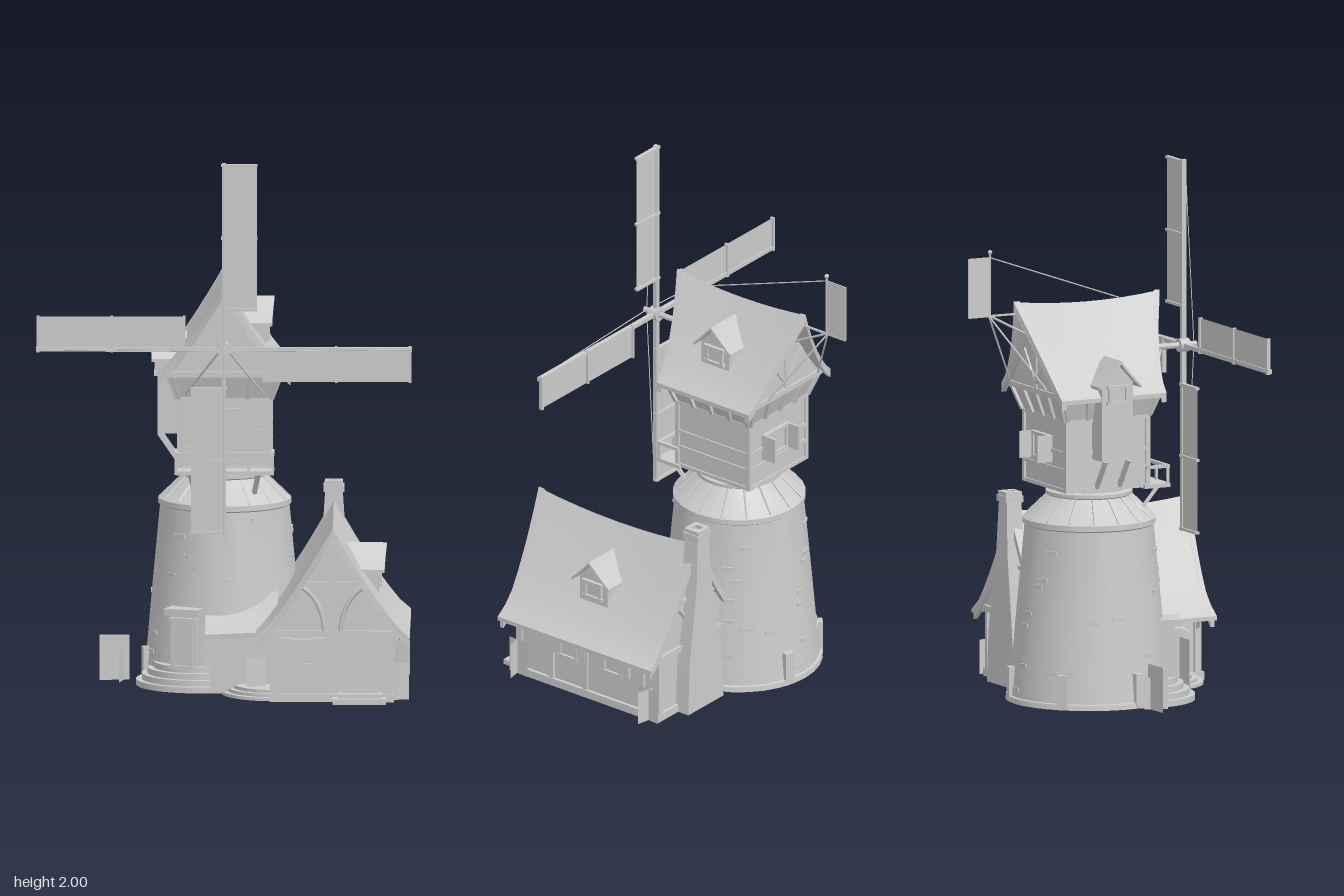
import * as THREE from 'three';
import { toCreasedNormals } from 'three/addons/utils/BufferGeometryUtils.js';

const grey = new THREE.MeshStandardMaterial({ color: 0xcccccc });
const thin = new THREE.MeshStandardMaterial({ color: 0xcccccc, side: THREE.DoubleSide });
const V = (x, y, z) => new THREE.Vector3(x, y, z);
const mix = (a, b, t) => a + (b - a) * t;

function add(parent, name, geo, x = 0, y = 0, z = 0, mat = grey) {
  const m = new THREE.Mesh(geo, mat);
  m.name = name;
  m.position.set(x, y, z);
  parent.add(m);
  return m;
}
function group(parent, name, x = 0, y = 0, z = 0) {
  const g = new THREE.Group();
  g.name = name;
  g.position.set(x, y, z);
  parent.add(g);
  return g;
}
// box given by its limits
const box = (p, name, x0, x1, y0, y1, z0, z1) => add(p, name,
  new THREE.BoxGeometry(x1 - x0, y1 - y0, z1 - z0), (x0 + x1) / 2, (y0 + y1) / 2, (z0 + z1) / 2);
// square beam or round rod between two points
function bar(p, name, a, b, w = 0.014, round = false) {
  const len = a.distanceTo(b);
  const geo = round ? new THREE.CylinderGeometry(w / 2, w / 2, len, 6) : new THREE.BoxGeometry(w, len, w);
  const m = add(p, name, geo, ...a.clone().add(b).multiplyScalar(0.5).toArray());
  m.quaternion.setFromUnitVectors(V(0, 1, 0), b.clone().sub(a).normalize());
  return m;
}
// turned shell from [radius, height] pairs
const turned = pts => toCreasedNormals(new THREE.LatheGeometry(pts.map(q => new THREE.Vector2(...q)), 32), 0.4);
// surface through rings of equal, even length, with optional end caps
function loft(rings, caps = true) {
  const pos = [], n = rings[0].length;
  const quad = (a, b, c, d) => [a, b, c, a, c, d].forEach(v => pos.push(v.x, v.y, v.z));
  for (let k = 0; k + 1 < rings.length; k++)
    for (let i = 0; i < n; i++) {
      const j = (i + 1) % n;
      quad(rings[k][i], rings[k][j], rings[k + 1][j], rings[k + 1][i]);
    }
  const A = rings[0], B = rings[rings.length - 1];
  for (let i = 0; caps && i < n / 2 - 1; i++) {
    quad(B[i], B[i + 1], B[n - 2 - i], B[n - 1 - i]);
    quad(A[n - 1 - i], A[n - 2 - i], A[i + 1], A[i]);
  }
  const g = new THREE.BufferGeometry();
  g.setAttribute('position', new THREE.Float32BufferAttribute(pos, 3));
  return toCreasedNormals(g, 0.5);
}
// rectangular ring for upright tapered solids
const rect = (x0, x1, z0, z1, y) => [V(x1, y, z1), V(x1, y, z0), V(x0, y, z0), V(x0, y, z1)];

// gabled shape along z with concave slopes; flat = solid down to the eaves, bow = inward curve of the verges
function gabled({ hw, y0, y1, p = 1.2, ridge, eave, sag = 0, bow = 0, thick = 0.016, flat = false }) {
  const rings = [], nx = 7, nz = 8;
  for (let k = 0; k <= nz; k++) {
    const s = k / nz, top = [], low = [];
    for (let i = -nx; i <= nx; i++) {
      const h = 1 - Math.abs(i / nx), b = bow * Math.sin(Math.PI * h);
      const z = mix(mix(eave[0], ridge[0], h ** 1.6) + b, mix(eave[1], ridge[1], h ** 1.6) - b, s);
      const y = mix(y0, y1, h ** p) - sag * 4 * s * (1 - s) * h;
      top.unshift(V(hw * i / nx, y, z));
      low.push(V(hw * i / nx, flat ? y0 - 0.002 : y - thick, z));
    }
    rings.push([...low, ...top]);
  }
  return loft(rings);
}
// window or door frame on a wall facing +z
function frame(p, name, w, h, x, y, z, ry = 0, t = 0.012) {
  const g = group(p, name, x, y, z);
  g.rotation.y = ry;
  box(g, 'pane', -w / 2, w / 2, -h / 2, h / 2, -0.01, 0.004);
  for (const s of [-1, 1]) {
    box(g, 'jamb', s * w / 2 - t / 2, s * w / 2 + t / 2, -h / 2, h / 2, -0.01, 0.012);
    box(g, 'rail', -w / 2 - t, w / 2 + t, s * h / 2 - t / 2, s * h / 2 + t / 2, -0.01, 0.014);
  }
}
// dormer facing sideways, s = +1 or -1
function dormer(p, name, s, x, z, base, eaveY, peak, hw, depth) {
  const g = group(p, name, x, 0, z);
  g.rotation.y = s * Math.PI / 2;
  const w = hw * 0.74;
  box(g, 'dormerWall', -w, w, base, eaveY + 0.01, -depth, 0);
  add(g, 'dormerGable', gabled({ hw: w, y0: eaveY + 0.005, y1: peak - 0.015, p: 1.05, ridge: [-depth, 0], eave: [-depth, 0], flat: true }));
  add(g, 'dormerRoof', gabled({ hw, y0: eaveY - 0.005, y1: peak, p: 1.1, ridge: [-depth, 0.03], eave: [-depth, 0.022], thick: 0.012 }));
  frame(g, 'dormerWindow', hw * 0.8, 0.06, 0, eaveY - 0.04, 0);
}

function buildTower(root) {
  const t = group(root, 'tower', 0, 0, -0.065);
  add(t, 'stoneTower', turned([[0.312, 0], [0.31, 0.02], [0.3, 0.022], [0.292, 0.1], [0.27, 0.35], [0.241, 0.66], [0.248, 0.665], [0.248, 0.685],
    [0.24, 0.69], [0.155, 0.77], [0.163, 0.775], [0.163, 0.788], [0.14, 0.793], [0.14, 0.83]]), 0, 0, 0, thin);
  let seed = 7;
  const rnd = () => (seed = (seed * 16807) % 2147483647) / 2147483647;
  for (let i = 0; i < 40; i++) {   // raised stones
    const a = rnd() * 6.283, y = 0.05 + rnd() * 0.58, r = 0.299 - y * 0.087;
    const m = add(t, 'stone', new THREE.BoxGeometry(0.025 + rnd() * 0.03, 0.014, 0.009), Math.sin(a) * r, y, Math.cos(a) * r);
    m.rotation.y = a;
  }
  for (let i = 0; i < 16; i++) {   // skirt ribs
    const a = i * Math.PI / 8, c = Math.cos(a), s = Math.sin(a);
    bar(t, 'skirtRib', V(0.241 * s, 0.69, 0.241 * c), V(0.157 * s, 0.77, 0.157 * c), 0.006);
  }
  for (const a of [1.9, 2.9, 3.9, 4.9]) {   // base posts
    const m = add(t, 'basePost', new THREE.BoxGeometry(0.04, 0.13, 0.035), 0.294 * Math.sin(a), 0.065, 0.294 * Math.cos(a));
    m.rotation.y = a;
  }
  // round steps and entrance
  const steps = (r, n, rise) => turned([...Array.from({ length: n }, (_, i) => [[r - i * 0.022, i * rise], [r - i * 0.022, (i + 1) * rise]]).flat(), [0, n * rise]]);
  add(root, 'roundSteps', steps(0.23, 4, 0.022), -0.1, 0, 0.07, thin);
  add(root, 'sideSteps', steps(0.2, 3, 0.012), 0.19, 0, 0.29, thin);
  const d = group(root, 'entrance', -0.15, 0, 0.2);
  d.rotation.y = -0.35;
  box(d, 'doorCase', -0.05, 0.05, 0.08, 0.28, -0.08, 0.01);
  box(d, 'doorHood', -0.066, 0.066, 0.28, 0.305, -0.08, 0.035);
  frame(d, 'door', 0.075, 0.18, 0, 0.175, 0.012);
}

function buildMillHouse(root) {
  const g = group(root, 'millHouse', 0, 0, -0.077);
  box(g, 'walls', -0.17, 0.17, 0.81, 1.09, -0.17, 0.17);
  add(g, 'flaredWall', loft([rect(-0.172, 0.172, -0.172, 0.172, 1.075), rect(-0.207, 0.207, -0.21, 0.205, 1.18)]));
  add(g, 'gableWall', gabled({ hw: 0.21, y0: 1.17, y1: 1.475, ridge: [-0.21, 0.205], eave: [-0.21, 0.205], flat: true }));
  const R = { hw: 0.245, y0: 1.17, y1: 1.515, p: 1.2, sag: 0.02, bow: 0.008, ridge: [-0.302, 0.307], eave: [-0.228, 0.21] };
  add(g, 'roof', gabled(R));
  add(g, 'frontBargeboard', gabled({ ...R, sag: 0, bow: 0, y1: 1.517, thick: 0.035, ridge: [0.285, 0.308], eave: [0.19, 0.21] }));
  add(g, 'backBargeboard', gabled({ ...R, sag: 0, bow: 0, y1: 1.517, thick: 0.035, ridge: [-0.304, -0.28], eave: [-0.228, -0.208] }));
  for (const s of [-1, 1]) {
    for (const y of [0.815, 0.89, 0.955, 1.075]) {
      box(g, 'wallBeam', -0.176, 0.176, y - 0.007, y + 0.007, s * 0.17 - 0.006, s * 0.17 + 0.006);
      box(g, 'wallBeam', s * 0.17 - 0.006, s * 0.17 + 0.006, y - 0.007, y + 0.007, -0.176, 0.176);
    }
    for (const c of [-1, 1]) box(g, 'cornerPost', s * 0.168 - 0.009, s * 0.168 + 0.009, 0.81, 1.085, c * 0.168 - 0.009, c * 0.168 + 0.009);
    for (let i = -2; i <= 2; i++) {   // corbels below the eaves
      bar(g, 'corbel', V(i * 0.085, 1.08, s * 0.178), V(i * 0.098, 1.17, s * 0.211), 0.014);
      bar(g, 'corbel', V(s * 0.178, 1.08, i * 0.085), V(s * 0.211, 1.17, i * 0.098), 0.014);
    }
    box(g, 'gableTie', -0.215, 0.215, 1.165, 1.185, s * 0.21 - 0.008, s * 0.21 + 0.008);
    box(g, 'gablePost', -0.01, 0.01, 1.18, 1.46, s * 0.21 - 0.006, s * 0.21 + 0.006);
    for (const c of [-1, 1]) bar(g, 'gableBrace', V(0, 1.2, s * 0.21), V(c * 0.09, 1.32, s * 0.21), 0.014);
  }
  dormer(g, 'rightDormer', 1, 0.155, 0.002, 1.24, 1.355, 1.44, 0.088, 0.12);
  dormer(g, 'oriel', -1, -0.25, 0.002, 0.93, 1.22, 1.31, 0.088, 0.11);
  for (const z of [-0.045, 0.05]) bar(g, 'orielBracket', V(-0.245, 0.93, z), V(-0.17, 0.82, z));
  frame(g, 'frontDoor', 0.12, 0.19, -0.01, 0.94, 0.173);
  frame(g, 'backWindow', 0.12, 0.09, 0.02, 0.96, -0.173, Math.PI);
  for (const x of [-0.05, 0.09]) box(g, 'openShutter', x - 0.005, x + 0.005, 0.91, 1.01, -0.233, -0.17);
  // balcony
  box(g, 'balconyFloor', -0.185, 0.185, 0.803, 0.818, 0.15, 0.258);
  for (const x of [-0.18, -0.09, 0, 0.09, 0.18]) box(g, 'baluster', x - 0.005, x + 0.005, 0.81, 0.88, 0.243, 0.253);
  box(g, 'balconyRail', -0.187, 0.187, 0.876, 0.888, 0.241, 0.255);
  for (const x of [-0.18, 0.18]) {
    box(g, 'sideRail', x - 0.006, x + 0.006, 0.876, 0.888, 0.16, 0.25);
    bar(g, 'balconyBrace', V(x * 0.7, 0.805, 0.24), V(x * 0.6, 0.71, 0.17));
  }
  // tail vane with its stays
  const v = group(root, 'tailVane');
  bar(v, 'vanePost', V(0, 1.46, -0.48), V(0, 1.71, -0.48), 0.01, true);
  add(v, 'vaneFinial', new THREE.SphereGeometry(0.009, 8, 6), 0, 1.71, -0.48);
  box(v, 'vanePanel', -0.002, 0.002, 1.47, 1.692, -0.572, -0.48);
  bar(v, 'boom', V(0, 1.47, -0.34), V(0, 1.47, -0.57), 0.007);
  bar(v, 'ridgeStay', V(0, 1.69, -0.48), V(0, 1.5, 0.06), 0.005, true);
  bar(v, 'middleStrut', V(0, 1.47, -0.48), V(0, 1.37, -0.29), 0.009, true);
  for (const s of [-1, 1]) bar(v, 'sideStrut', V(0, 1.47, -0.485), V(s * 0.15, 1.2, -0.32), 0.007, true);
}

function buildSails(root) {
  const g = group(root, 'sails', 0, 1.3, 0.33);
  bar(g, 'shaft', V(0, 0, -0.25), V(0, 0, 0.055), 0.024, true);
  const hub = add(g, 'hub', new THREE.CylinderGeometry(0.026, 0.026, 0.04, 12));
  hub.rotation.x = Math.PI / 2;
  for (const s of [-1, 1]) bar(g, 'shaftBrace', V(0, 0, -0.09), V(s * 0.15, -0.21, -0.235), 0.008, true);
  for (let k = 0; k < 4; k++) {
    const a = group(g, 'sail');
    a.rotation.z = k * Math.PI / 2;
    box(a, 'spar', -0.008, 0.008, 0, 0.7, -0.009, 0.009);
    add(a, 'sailCloth', new THREE.PlaneGeometry(0.116, 0.55), 0.065, 0.42, -0.004, thin);
    for (const y of [0.148, 0.418, 0.692]) box(a, 'crossBar', -0.012, 0.125, y - 0.005, y + 0.005, -0.012, 0.004);
    bar(a, 'stay', V(0, 0, 0.045), V(0, 0.695, 0.008), 0.004, true);
  }
}

function buildCottage(root) {
  const g = group(root, 'cottage', 0.405, 0, 0);
  add(g, 'walls', loft([rect(-0.232, 0.228, -0.18, 0.51, 0), rect(-0.232, 0.228, -0.18, 0.51, 0.03),
    rect(-0.222, 0.215, -0.168, 0.49, 0.03), rect(-0.222, 0.215, -0.168, 0.49, 0.27)], false), 0, 0, 0, thin);
  add(g, 'gableWall', gabled({ hw: 0.25, y0: 0.25, y1: 0.615, p: 1.25, ridge: [-0.17, 0.5], eave: [-0.17, 0.5], flat: true }));
  const R = { hw: 0.287, y0: 0.245, y1: 0.66, p: 1.25, sag: 0.025, bow: 0.013, ridge: [-0.19, 0.567], eave: [-0.197, 0.533] };
  add(g, 'roof', gabled(R));
  add(g, 'frontBargeboard', gabled({ ...R, sag: 0, bow: 0, y1: 0.663, thick: 0.04, ridge: [0.54, 0.566], eave: [0.505, 0.522] }));
  add(g, 'backBargeboard', gabled({ ...R, sag: 0, bow: 0, y1: 0.663, thick: 0.04, ridge: [-0.19, -0.172], eave: [-0.19, -0.172] }));
  for (const z of [-0.174, 0.505]) {   // gable timbers
    box(g, 'tieBeam', -0.255, 0.255, 0.245, 0.268, z - 0.009, z + 0.009);
    box(g, 'kingPost', -0.012, 0.012, 0.26, 0.6, z - 0.007, z + 0.007);
    box(g, 'collar', -0.095, 0.095, 0.44, 0.455, z - 0.007, z + 0.007);
    for (const s of [-1, 1]) {
      const c = new THREE.QuadraticBezierCurve3(V(s * 0.03, 0.26, z), V(s * 0.035, 0.38, z), V(s * 0.11, 0.43, z));
      add(g, 'curvedBrace', new THREE.TubeGeometry(c, 8, 0.009, 5));
    }
    for (const x of [-0.215, -0.02, 0.208]) box(g, 'wallPost', x - 0.01, x + 0.01, 0.02, 0.26, z < 0 ? -0.178 : 0.48, z < 0 ? -0.16 : 0.5);
  }
  for (const s of [-1, 1]) for (const z of [-0.1, 0.17, 0.33, 0.48]) {
    const x = s > 0 ? 0.215 : -0.222;
    box(g, 'sidePost', x - 0.01, x + 0.01, 0.02, 0.25, z - 0.011, z + 0.011);
    bar(g, 'eaveBrace', V(x, 0.19, z), V(x + s * 0.03, 0.24, z), 0.012);
  }
  for (const z of [0.04, 0.25]) {
    frame(g, 'sideWindow', 0.075, 0.09, 0.217, 0.185, z, Math.PI / 2);
    for (const s of [-1, 1]) box(g, 'shutter', 0.213, 0.227, 0.14, 0.235, z + s * 0.06 - 0.02, z + s * 0.06 + 0.02);
  }
  frame(g, 'frontWindow', 0.07, 0.09, -0.11, 0.185, 0.492);
  for (const s of [-1, 1]) box(g, 'shutter', -0.11 + s * 0.06 - 0.022, -0.11 + s * 0.06 + 0.022, 0.14, 0.24, 0.485, 0.51);
  frame(g, 'door', 0.11, 0.2, 0.1, 0.14, 0.492);
  box(g, 'lowerDoorstep', 0, 0.2, 0, 0.02, 0.48, 0.574);
  box(g, 'upperDoorstep', 0.02, 0.18, 0.02, 0.035, 0.48, 0.545);
  dormer(g, 'dormer', 1, 0.17, 0.17, 0.37, 0.465, 0.55, 0.088, 0.14);
  add(g, 'chimney', loft([rect(-0.105, 0.105, -0.228, -0.15, 0), rect(-0.095, 0.095, -0.226, -0.15, 0.2),
    rect(-0.045, 0.045, -0.22, -0.15, 0.5), rect(-0.032, 0.032, -0.215, -0.155, 0.7)]));
  box(g, 'chimneyCap', -0.039, 0.039, 0.69, 0.715, -0.222, -0.15);
  for (const s of [-1, 1]) {
    box(g, 'chimneyRim', s * 0.025 - 0.009, s * 0.025 + 0.009, 0.715, 0.73, -0.219, -0.153);
    box(g, 'chimneyRim', -0.034, 0.034, 0.715, 0.73, -0.186 + s * 0.025 - 0.008, -0.186 + s * 0.025 + 0.008);
  }
  // lean-to joining the cottage and the tower
  add(root, 'leanToWall', loft([rect(-0.03, 0.2, 0.12, 0.3, 0), rect(-0.03, 0.2, 0.12, 0.3, 0.24)], false), 0, 0, 0, thin);
  const rings = [0, 1, 2, 3, 4, 5].map(i => {
    const t = i / 5, x = mix(-0.07, 0.2, t), y0 = 0.225 + 0.02 * t, y1 = 0.305 + 0.06 * t * t;
    const z = mix(0.33, 0.38, t), ym = mix(y0, y1, 0.42);
    return [V(x, y1, 0.14), V(x, ym, 0.25), V(x, y0, z), V(x, y0 - 0.016, z), V(x, ym - 0.016, 0.25), V(x, y1 - 0.016, 0.14)];
  });
  add(root, 'leanToRoof', loft(rings));
}

function buildYard(root) {
  // thin upright plant panels: x, z, width, height, turn
  const panels = [[-0.41, 0, 0.11, 0.17, 0.05], [-0.38, 0.02, 0.09, 0.12, 1.3], [0.65, 0.48, 0.08, 0.14, 0.15], [0.64, 0.475, 0.09, 0.14, 1.5],
    [0.65, -0.14, 0.08, 0.13, -0.2], [0.64, -0.14, 0.1, 0.13, 1.5], [0.0, 0.33, 0.1, 0.19, 0], [0.12, 0.36, 0.08, 0.14, 0.4]];
  for (const [x, z, w, h, a] of panels) add(root, 'plantPanel', new THREE.PlaneGeometry(w, h), x, h / 2 + 0.005, z, thin).rotation.y = a;
}

export function createModel() {
  const root = new THREE.Group();
  root.name = 'windmill';
  [buildTower, buildMillHouse, buildSails, buildCottage, buildYard].forEach(build => build(root));
  return root;
}
